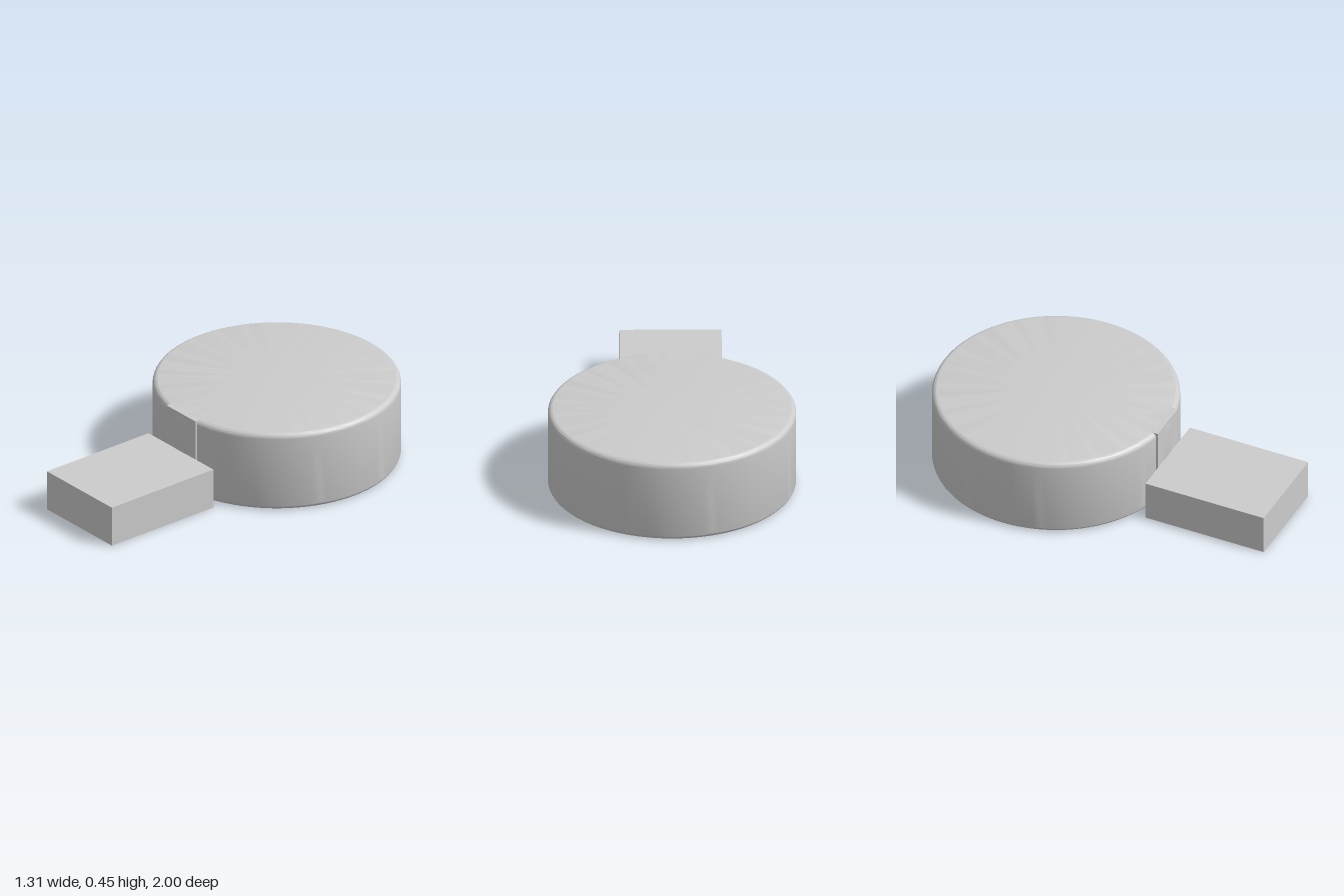
import * as THREE from 'three';
import { toCreasedNormals } from 'three/addons/utils/BufferGeometryUtils.js';

export function createModel() {
  const group = new THREE.Group();
  const material = new THREE.MeshStandardMaterial({ color: 0xcccccc });

  const add = (name, geometry, x, y, z) => {
    const mesh = new THREE.Mesh(geometry, material);
    mesh.name = name;
    mesh.position.set(x, y, z);
    group.add(mesh);
  };

  const radius = 0.655, height = 0.45, fillet = 0.03;
  const recessRadius = 0.367, recessDepth = 0.03;
  const centreZ = -1 + radius;
  const neckFront = 0.308;

  // Round body: recessed underside, rounded rims, flat top
  const profile = new THREE.Path();
  profile.moveTo(0, recessDepth);
  profile.lineTo(recessRadius, recessDepth);
  profile.lineTo(recessRadius, 0);
  profile.lineTo(radius - fillet, 0);
  profile.absarc(radius - fillet, fillet, fillet, -Math.PI / 2, 0, false);
  profile.lineTo(radius, height - fillet);
  profile.absarc(radius - fillet, height - fillet, fillet, 0, Math.PI / 2, false);
  profile.lineTo(0, height);
  const body = new THREE.LatheGeometry(profile.getPoints(8), 96);
  add('roundBody', toCreasedNormals(body, 0.6), 0, 0, centreZ);

  // Full-height neck, squared off where the body meets the tab
  const neckDepth = 0.11;
  add('neck', new THREE.BoxGeometry(0.24, height, neckDepth), 0, height / 2, neckFront - neckDepth / 2);

  // Half-height rectangular tab at the front
  const tabDepth = 1 - neckFront;
  add('tab', new THREE.BoxGeometry(0.54, height / 2, tabDepth), 0, height / 4, neckFront + tabDepth / 2);

  return group;
}
